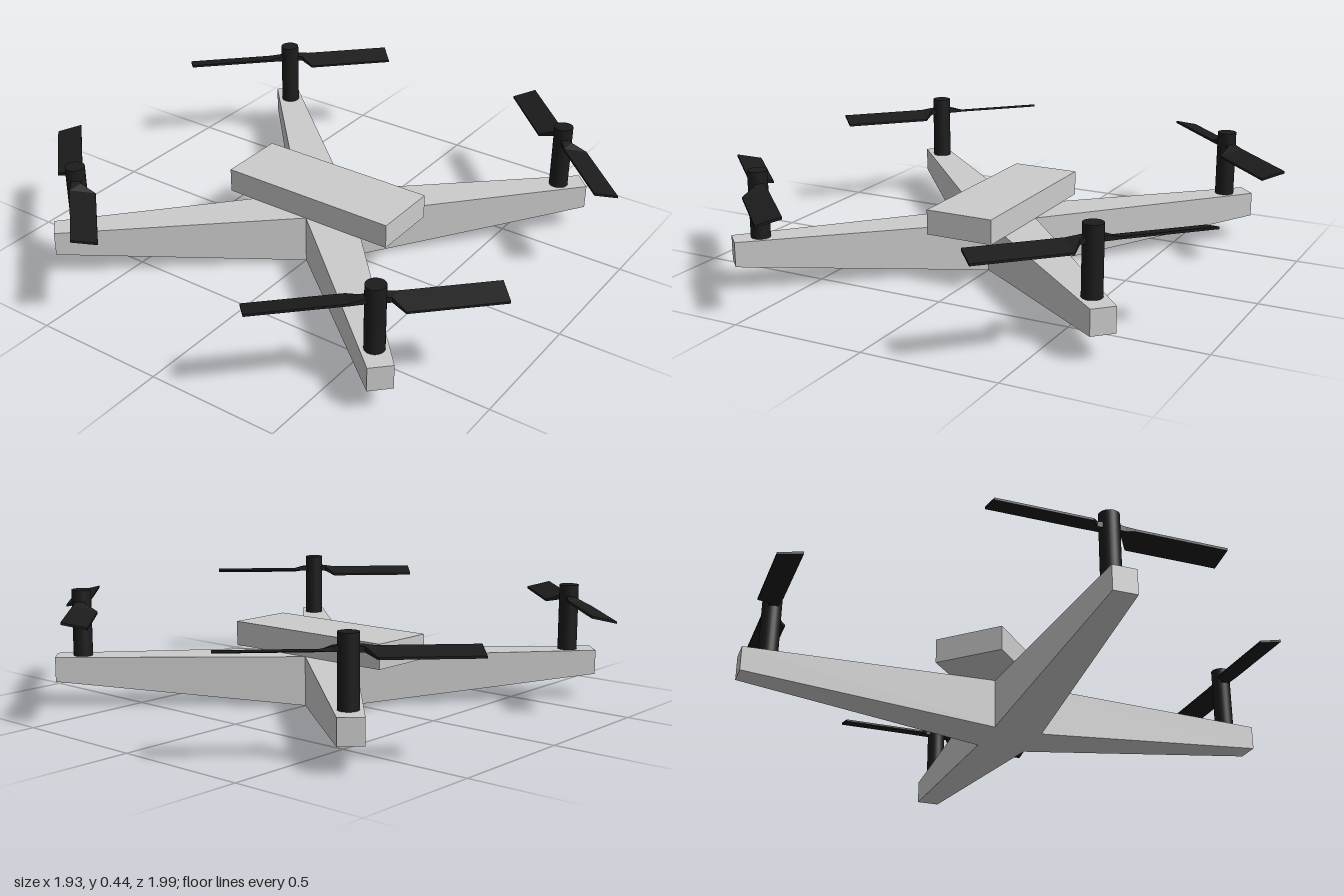
import * as THREE from 'three';

// Joins four-cornered sections along +x; each section is [x, [[y, z] x 4]]
function loft(sections) {
  const pos = [];
  const rings = sections.map(([x, ring]) => ring.map(([y, z]) => [x, y, z]));
  const quad = (a, b, c, d) => pos.push(...a, ...b, ...c, ...a, ...c, ...d);
  for (let i = 0; i < rings.length - 1; i++) {
    const p = rings[i], q = rings[i + 1];
    for (let j = 0; j < 4; j++) {
      const k = (j + 1) % 4;
      quad(p[j], p[k], q[k], q[j]);
    }
  }
  const s = rings[0], e = rings[rings.length - 1];
  quad(s[3], s[2], s[1], s[0]);
  quad(e[0], e[1], e[2], e[3]);
  const geo = new THREE.BufferGeometry();
  geo.setAttribute('position', new THREE.Float32BufferAttribute(pos, 3));
  geo.computeVertexNormals();
  return geo;
}

// Rectangular section, y0..y1 high and 2 * half wide
const rect = (y0, y1, half) => [[y0, -half], [y1, -half], [y1, half], [y0, half]];

export function createModel() {
  const grey = new THREE.MeshStandardMaterial({ color: 0xcccccc, flatShading: true });
  const black = new THREE.MeshStandardMaterial({ color: 0x1c1c1c });
  const blackFlat = new THREE.MeshStandardMaterial({ color: 0x1c1c1c, flatShading: true });
  const model = new THREE.Group();
  model.name = 'quadcopter';
  const add = (parent, name, geo, mat) => {
    const mesh = new THREE.Mesh(geo, mat);
    mesh.name = name;
    parent.add(mesh);
    return mesh;
  };

  const deck = 0.187, core = 0.092;

  // Body on top of the crossing arms
  add(model, 'body', new THREE.BoxGeometry(0.262, 0.093, 0.71), grey)
    .position.y = deck + 0.0465;

  // Square core where the arms meet
  const hub = add(model, 'armCore', new THREE.BoxGeometry(core * 2, deck, core * 2), grey);
  hub.position.y = deck / 2;
  hub.rotation.y = Math.PI / 4;

  // Four arms, narrowing and rising towards the tips
  const armGeo = loft([[core, rect(0, deck, core)], [1.019, rect(0.095, deck, 0.0445)]]);
  for (let i = 0; i < 4; i++) {
    add(model, 'arm', armGeo, grey).rotation.y = Math.PI / 4 + i * Math.PI / 2;
  }

  // Pitched blade with a short root, set off to one side of the shaft
  const pitched = [[0.357, -0.067], [0.365, -0.067], [0.386, 0.0235], [0.377, 0.0235]];
  const bladeGeo = loft([
    [0.015, [[0.372, -0.018], [0.394, -0.018], [0.396, 0.018], [0.374, 0.018]]],
    [0.05, [[0.371, -0.018], [0.39, -0.018], [0.392, 0.018], [0.374, 0.018]]],
    [0.085, pitched],
    [0.422, pitched],
  ]);
  const motorGeo = new THREE.CylinderGeometry(0.036, 0.036, 0.435 - deck, 24);

  // Rotors mirrored to the four corners
  for (const sx of [1, -1]) {
    for (const sz of [1, -1]) {
      const rotor = new THREE.Group();
      rotor.name = (sz > 0 ? 'front' : 'back') + (sx > 0 ? 'Left' : 'Right') + 'Rotor';
      rotor.position.set(0.65 * sx, 0, 0.65 * sz);
      rotor.scale.set(sx, 1, sz);
      add(rotor, 'motor', motorGeo, black).position.y = (0.435 + deck) / 2;
      for (const turn of [0, Math.PI]) {
        add(rotor, 'blade', bladeGeo, blackFlat).rotation.y = -0.75 * Math.PI + turn;
      }
      model.add(rotor);
    }
  }
  return model;
}
